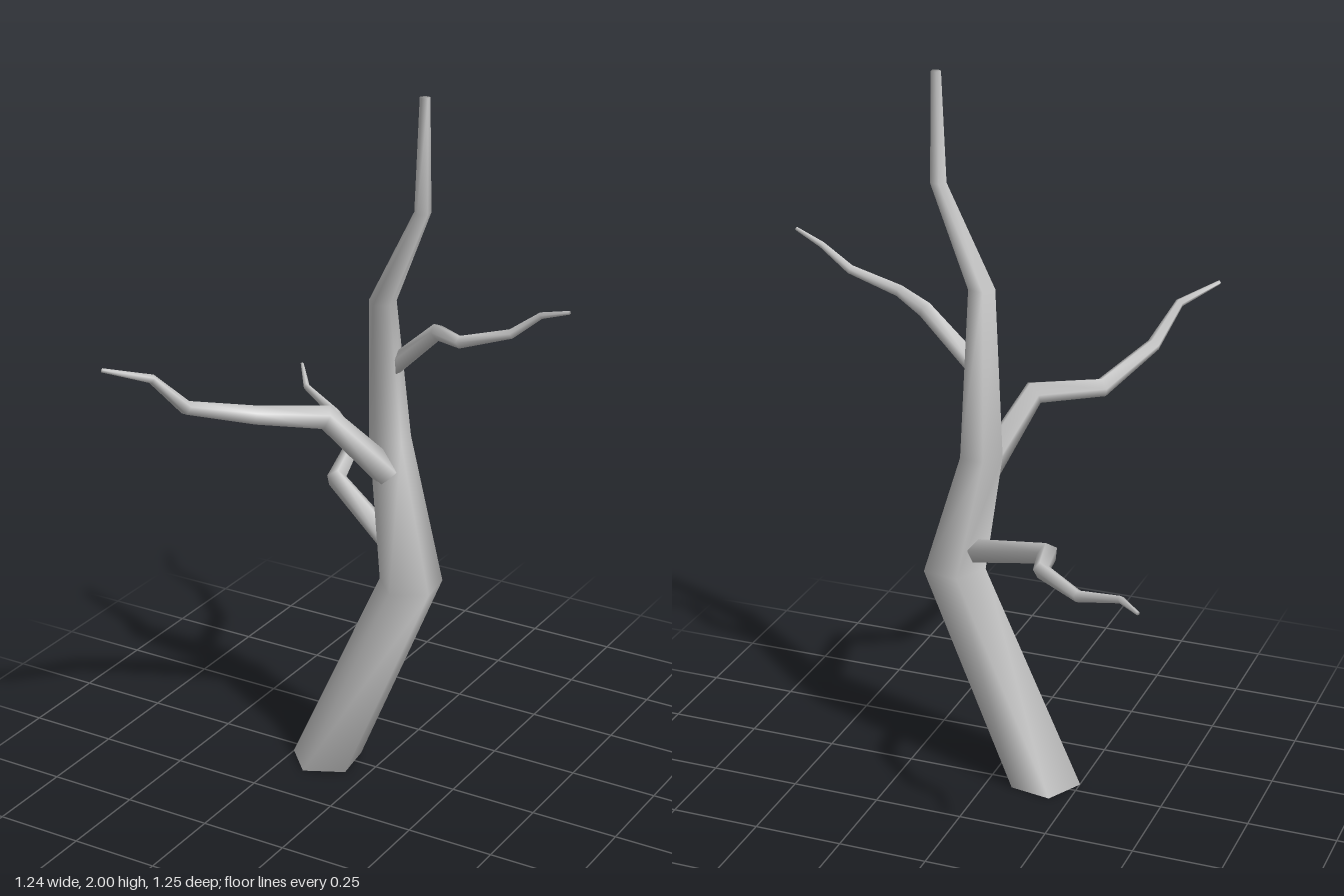
import * as THREE from 'three';

const SIDES = 5;
const material = new THREE.MeshStandardMaterial({ color: 0xcccccc });

// Tapered five-sided limb through [x, y, z, radius] stations, closed at both ends.
function limb(name, stations, { phase = 0, level = false } = {}) {
  const centers = stations.map(([x, y, z]) => new THREE.Vector3(x, y, z));
  const last = centers.length - 1;
  const positions = [];
  const index = [];
  const u = new THREE.Vector3(1, 0, 0);
  if (!level) u.set(0, 1, 0);

  centers.forEach((c, i) => {
    // Ring plane: horizontal, or square to the averaged direction of the limb
    const t = new THREE.Vector3(0, 1, 0);
    if (!level) {
      t.set(0, 0, 0);
      if (i > 0) t.add(c.clone().sub(centers[i - 1]).normalize());
      if (i < last) t.add(centers[i + 1].clone().sub(c).normalize());
      t.normalize();
    }
    u.addScaledVector(t, -u.dot(t)).normalize();
    const v = t.clone().cross(u);
    for (let j = 0; j < SIDES; j++) {
      const a = phase + (j / SIDES) * Math.PI * 2;
      const p = c.clone()
        .addScaledVector(u, Math.cos(a) * stations[i][3])
        .addScaledVector(v, Math.sin(a) * stations[i][3]);
      positions.push(p.x, p.y, p.z);
      if (i < last) {
        const k = (j + 1) % SIDES;
        const lo = i * SIDES, hi = lo + SIDES;
        index.push(lo + j, lo + k, hi + k, lo + j, hi + k, hi + j);
      }
    }
  });

  // End caps
  const top = last * SIDES;
  for (let j = 1; j < SIDES - 1; j++) {
    index.push(0, j + 1, j, top, top + j, top + j + 1);
  }

  const geometry = new THREE.BufferGeometry();
  geometry.setAttribute('position', new THREE.Float32BufferAttribute(positions, 3));
  geometry.setIndex(index);
  geometry.computeVertexNormals();
  const mesh = new THREE.Mesh(geometry, material);
  mesh.name = name;
  return mesh;
}

export function createModel() {
  const tree = new THREE.Group();
  tree.name = 'bareTree';

  // Crooked trunk
  tree.add(limb('trunk', [
    [-0.15, 0, 0.022, 0.102],
    [0.125, 0.62, 0.028, 0.09],
    [0.015, 1.0, -0.048, 0.06],
    [0.055, 1.43, 0.06, 0.038],
    [0.188, 1.7, 0.088, 0.023],
    [0.192, 2.0, 0.088, 0.014],
  ], { phase: 3.28, level: true }));

  // Branch towards the front right
  tree.add(limb('frontBranch', [
    [0.03, 0.92, 0, 0.043],
    [-0.06, 1.115, 0.16, 0.035],
    [-0.225, 1.12, 0.25, 0.027],
    [-0.31, 1.19, 0.44, 0.02],
    [-0.355, 1.29, 0.525, 0.013],
    [-0.44, 1.33, 0.622, 0.006],
  ]));

  // Low branch towards the back right
  tree.add(limb('backBranch', [
    [0.04, 0.7, -0.02, 0.034],
    [-0.215, 0.79, -0.15, 0.029],
    [-0.26, 0.825, -0.325, 0.022],
    [-0.41, 0.84, -0.465, 0.016],
    [-0.54, 0.878, -0.52, 0.01],
    [-0.617, 0.9, -0.622, 0.005],
  ]));

  // High branch towards the left
  tree.add(limb('leftBranch', [
    [0.05, 1.225, 0.012, 0.028],
    [0.2, 1.362, 0.025, 0.023],
    [0.307, 1.378, 0.1, 0.017],
    [0.45, 1.425, 0.093, 0.013],
    [0.53, 1.487, 0.088, 0.009],
    [0.617, 1.517, 0.11, 0.005],
  ]));

  return tree;
}
